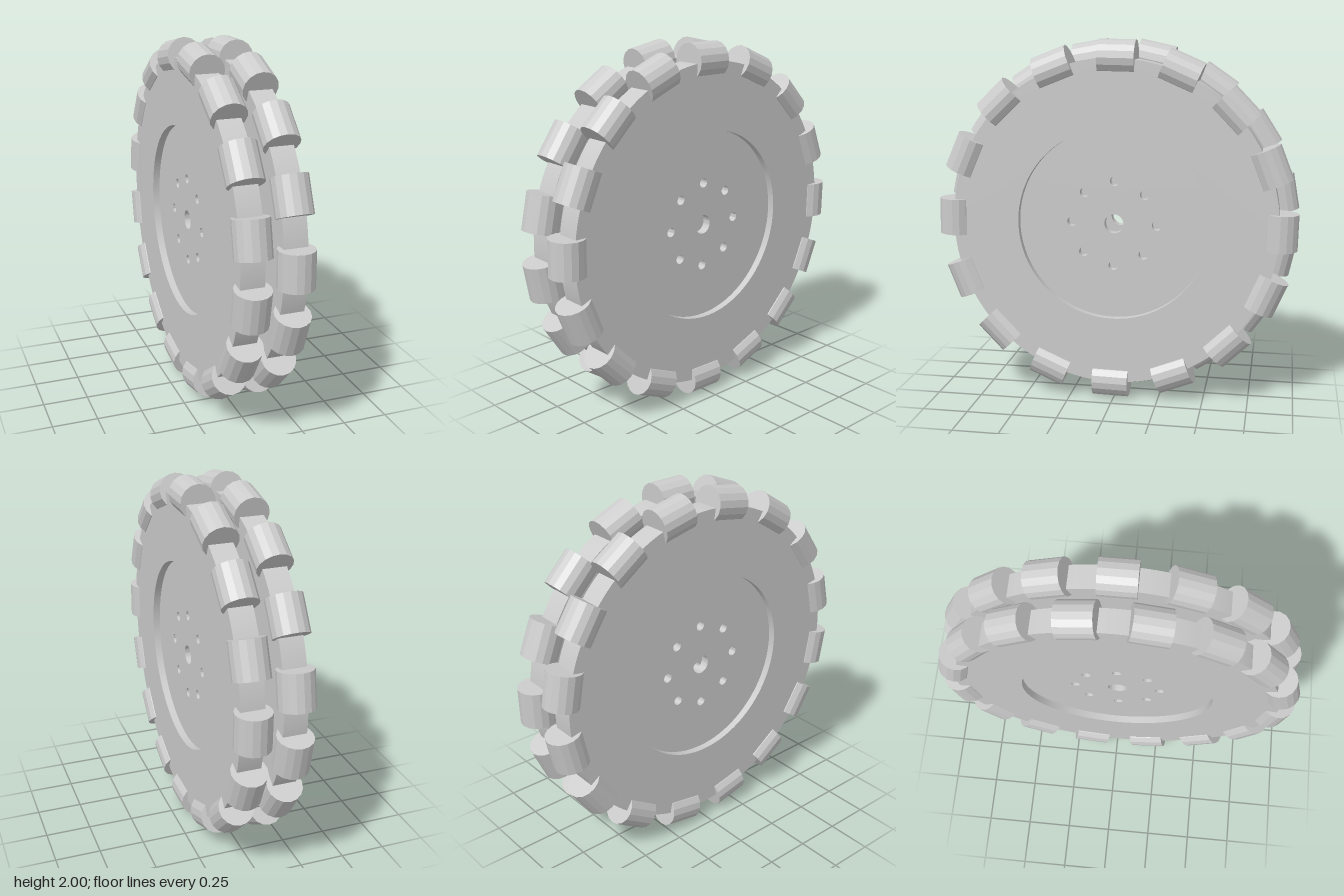
import * as THREE from 'three';
import { toCreasedNormals } from 'three/addons/utils/BufferGeometryUtils.js';

const ROLLERS = 16;
const RIM_R = 0.9, RIM_W = 0.13;
const RECESS_R = 0.53, WEB_W = 0.05;
const ROLLER_R = 0.097, ROLLER_L = 0.2;
const TILT = THREE.MathUtils.degToRad(1.1);

const circle = (Type, x, y, r) => new Type().absarc(x, y, r, 0, Math.PI * 2, false);

// Plate centred on its own mid-plane, with round holes given as [x, y, r]
function plate(radius, width, holes, segments) {
  const shape = circle(THREE.Shape, 0, 0, radius);
  shape.holes = holes.map(([x, y, r]) => circle(THREE.Path, x, y, r));
  const geo = new THREE.ExtrudeGeometry(shape, {
    depth: width, bevelEnabled: false, curveSegments: segments,
  });
  geo.translate(0, 0, -width / 2);
  return toCreasedNormals(geo, 0.6);
}

export function createModel() {
  const model = new THREE.Group();
  model.name = 'omniWheel';
  const smooth = new THREE.MeshStandardMaterial({ color: 0xcccccc });
  const faceted = new THREE.MeshStandardMaterial({ color: 0xcccccc, flatShading: true });

  // Axle bore and ring of eight bolt holes
  const holes = [[0, 0, 0.053]];
  for (let i = 0; i < 8; i++) {
    const a = (i * Math.PI) / 4;
    holes.push([0.236 * Math.cos(a), 0.236 * Math.sin(a), 0.026]);
  }
  const rimGeo = plate(RIM_R, RIM_W, [[0, 0, RECESS_R]], 64);
  const webGeo = plate(RECESS_R, WEB_W, holes, 64);

  // Roller axis lies along y, tangent to the rim at angle zero
  const rollerGeo = new THREE.CylinderGeometry(ROLLER_R, ROLLER_R, ROLLER_L, 16);
  rollerGeo.translate(RIM_R + 0.001, 0, 0);

  function add(parent, geo, mat, name) {
    const mesh = new THREE.Mesh(geo, mat);
    mesh.name = name;
    parent.add(mesh);
    return mesh;
  }

  // Two discs side by side, rollers staggered by half a step
  for (const [side, name, stagger] of [[1, 'leftDisc', 0], [-1, 'rightDisc', 0.5]]) {
    const disc = new THREE.Group();
    disc.name = name;
    add(disc, rimGeo, smooth, 'rim');
    add(disc, webGeo, smooth, 'hubWeb');
    for (let i = 0; i < ROLLERS; i++) {
      const roller = add(disc, rollerGeo, faceted, 'roller');
      roller.rotation.z = ((i + stagger) * Math.PI * 2) / ROLLERS;
    }
    // Turn the disc axis onto x, with a slight roll about the axle
    disc.rotation.set(0, Math.PI / 2, -TILT);
    disc.position.set(side * 0.113, 1, 0);
    disc.rotation.order = 'YXZ';
    model.add(disc);
  }
  return model;
}
